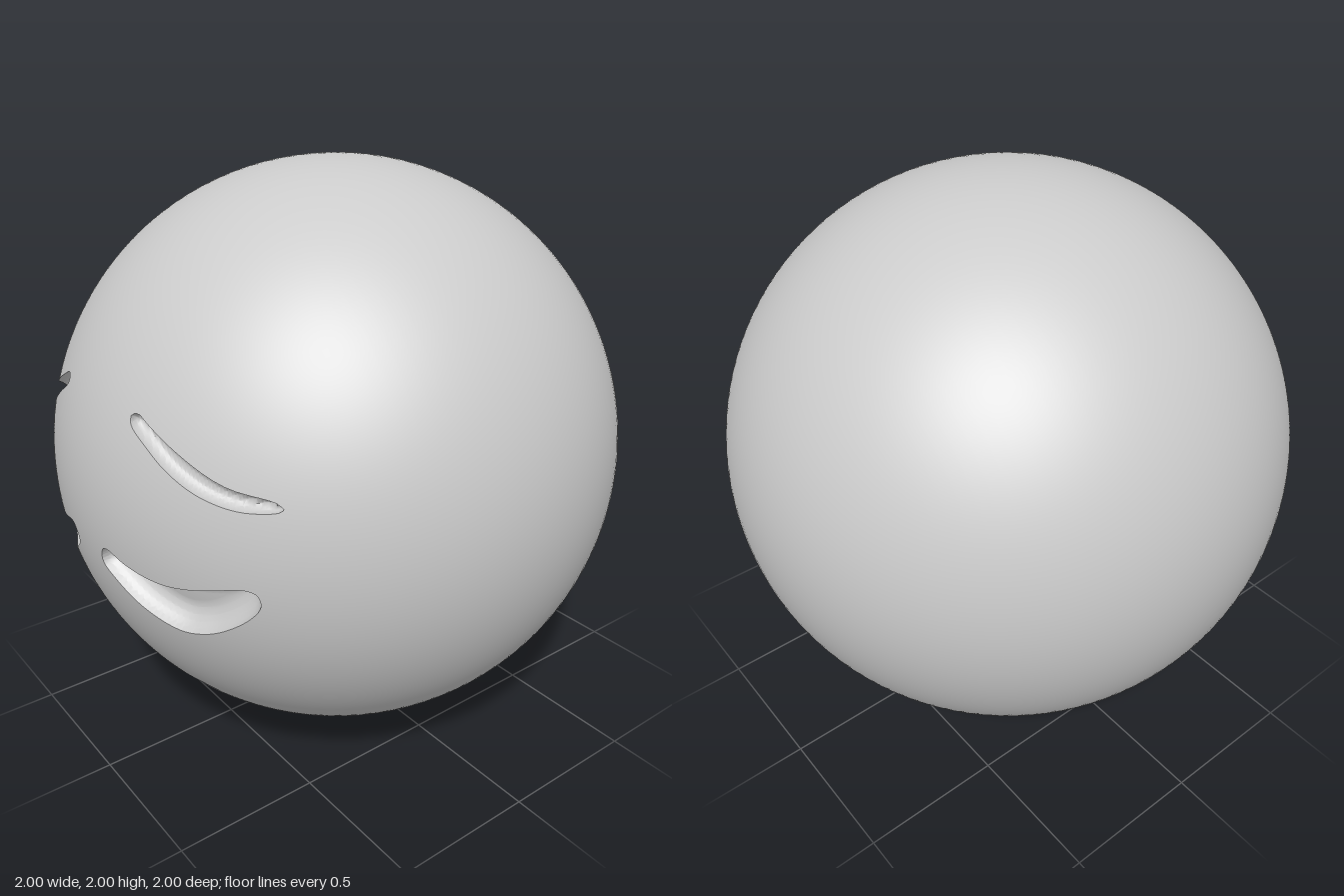
import * as THREE from 'three';
import { mergeVertices } from 'three/addons/utils/BufferGeometryUtils.js';

const material = new THREE.MeshStandardMaterial({ color: 0xcccccc, roughness: 0.8 });

// Outlines of the carved features, seen from the front (y measured from the ball centre)
const EYE = [[.085, -.15], [.1, -.1], [.13, -.09], [.2, -.11], [.28, -.125], [.36, -.13], [.44, -.12], [.52, -.1],
  [.6, -.08], [.63, -.09], [.636, -.13], [.6, -.185], [.52, -.25], [.45, -.285], [.37, -.3], [.25, -.265], [.144, -.2]];
const BROW = [[.21, .362], [.235, .37], [.27, .355], [.385, .3], [.545, .227], [.67, .197], [.684, .178], [.6, .163],
  [.49, .185], [.385, .232], [.29, .29], [.214, .34]];
const MOUTH = [[-.225, -.637], [0, -.64], [.225, -.637], [.25, -.655], [.255, -.68], [.247, -.705], [.22, -.715],
  [0, -.718], [-.22, -.715], [-.247, -.705], [-.255, -.68], [-.25, -.655]];

// A feature: smooth closed outline, width of its sloping wall and depth
function feature(name, points, wall, depth, mirror = 1) {
  const curve = new THREE.CatmullRomCurve3(
    points.map(([x, y]) => new THREE.Vector3(x * mirror, y, 0)), true, 'centripetal');
  return { name, wall, depth, outline: curve.getPoints(points.length * 5).slice(0, -1) };
}

// Distance to an outline, positive inside
function insideDistance(x, y, outline) {
  let best = Infinity, inside = false;
  for (let i = 0, j = outline.length - 1; i < outline.length; j = i++) {
    const a = outline[j], b = outline[i];
    const dx = b.x - a.x, dy = b.y - a.y;
    const k = THREE.MathUtils.clamp(((x - a.x) * dx + (y - a.y) * dy) / (dx * dx + dy * dy), 0, 1);
    best = Math.min(best, Math.hypot(x - a.x - k * dx, y - a.y - k * dy));
    if ((a.y > y) !== (b.y > y) && x < a.x + (y - a.y) * dx / dy) inside = !inside;
  }
  return inside ? best : -best;
}

// Split a triangle where its field t crosses a level
function split(tri, level) {
  const outside = [], inside = [];
  for (let i = 0; i < 3; i++) {
    const a = tri[i], b = tri[(i + 1) % 3];
    if (a.t <= level) outside.push(a);
    if (a.t >= level) inside.push(a);
    if ((a.t - level) * (b.t - level) < 0) {
      const [lo, hi] = a.t < b.t ? [a, b] : [b, a];
      const p = lo.p.clone().lerp(hi.p, (level - lo.t) / (hi.t - lo.t)).normalize();
      const v = { p, t: level, feat: hi.feat };
      outside.push(v);
      inside.push(v);
    }
  }
  const fan = (poly) => poly.slice(2).map((v, i) => [poly[0], poly[i + 1], v]);
  return [fan(outside), fan(inside)];
}

export function createModel() {
  const features = [
    feature('leftEye', EYE, .065, .075), feature('rightEye', EYE, .065, .075, -1),
    feature('leftBrow', BROW, .03, .04), feature('rightBrow', BROW, .03, .04, -1),
    feature('mouth', MOUTH, .026, .036),
  ];
  const levels = [0, .04, .15, .35, .65, 1];
  const parts = { ball: [] };
  features.forEach((f) => { parts[f.name] = []; });

  // Ball grid with its pole at the front and finer rings around the face
  const SEG = 240, FRONT = 100, BACK = 44, faceAngle = 1.1;
  const rings = [];
  for (let r = 0; r <= FRONT + BACK; r++) {
    const th = r <= FRONT ? faceAngle * r / FRONT : faceAngle + (Math.PI - faceAngle) * (r - FRONT) / BACK;
    const ring = [];
    for (let s = 0; s < SEG; s++) {
      const a = s / SEG * Math.PI * 2;
      const p = new THREE.Vector3(Math.sin(th) * Math.cos(a), Math.sin(th) * Math.sin(a), Math.cos(th));
      const v = { p, t: -9, feat: features[0] };
      if (r <= FRONT) {
        for (const f of features) {
          const t = insideDistance(p.x, p.y, f.outline) / f.wall;
          if (t > v.t) { v.t = t; v.feat = f; }
        }
      }
      ring.push(v);
    }
    rings.push(ring);
  }

  // Cut the skin along the outlines, and the recesses along their wall contours
  function carve(tri) {
    let rest = [tri];
    levels.forEach((level, i) => {
      const next = [];
      for (const part of rest) {
        const [outside, inside] = split(part, level);
        for (const o of outside) {
          const deepest = o.reduce((m, v) => (v.t > m.t ? v : m));
          parts[i === 0 ? 'ball' : deepest.feat.name].push(o);
        }
        next.push(...inside);
      }
      rest = next;
    });
    for (const part of rest) parts[part[0].feat.name].push(part);
  }
  for (let r = 0; r < rings.length - 1; r++) {
    for (let s = 0; s < SEG; s++) {
      const n = (s + 1) % SEG;
      const a = rings[r][s], b = rings[r + 1][s], c = rings[r + 1][n], d = rings[r][n];
      if (r < rings.length - 2) carve([a, b, c]);
      if (r > 0) carve([a, c, d]);
    }
  }

  // Skin stays on the sphere; recesses sink in with a rounded wall and level floor
  const group = new THREE.Group();
  group.name = 'sadFaceBall';
  for (const [name, tris] of Object.entries(parts)) {
    const position = [], normal = [];
    for (const v of tris.flat()) {
      const k = THREE.MathUtils.clamp(v.t, 0, 1);
      const sink = name === 'ball' ? 0 : v.feat.depth * Math.sqrt(1 - (1 - k) ** 2);
      position.push(...v.p.clone().multiplyScalar(1 - sink).toArray());
      normal.push(...v.p.toArray());
    }
    let geometry = new THREE.BufferGeometry();
    geometry.setAttribute('position', new THREE.Float32BufferAttribute(position, 3));
    if (name === 'ball') {
      geometry.setAttribute('normal', new THREE.Float32BufferAttribute(normal, 3));
    } else {
      geometry = mergeVertices(geometry, 1e-5);
      geometry.computeVertexNormals();
    }
    const mesh = new THREE.Mesh(geometry, material);
    mesh.name = name === 'ball' ? name : name + 'Recess';
    mesh.position.y = 1;
    group.add(mesh);
  }
  return group;
}
